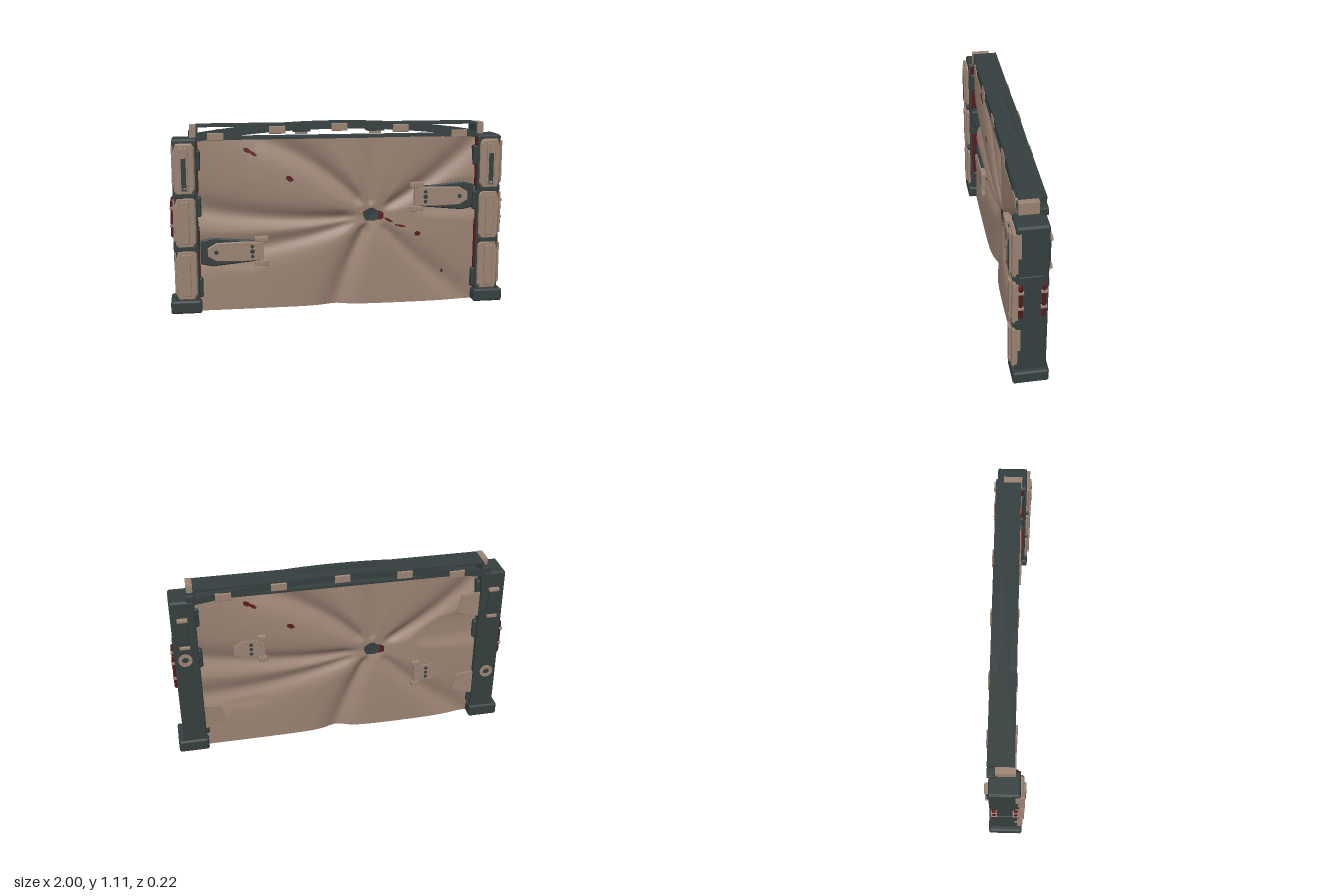
import * as THREE from 'three';
import { RoundedBoxGeometry } from 'three/addons/geometries/RoundedBoxGeometry.js';

const mat = (name, color) => {
  const m = new THREE.MeshStandardMaterial({ color });
  m.name = name;
  return m;
};

// Dent depth of a sheet: creases running out from the puncture.
const HOLE = [0.2, 0.55];
const CREASES = [ // end x, end y, depth, sideways bend
  [-0.03, -0.02, 0.044, 0.02], [0.09, 1.02, 0.038, 0.02], [-0.45, 1.02, 0.042, 0.05],
  [-0.86, 0.62, 0.04, -0.04], [-0.86, 0.36, 0.034, -0.05], [0.86, 1.03, 0.038, 0.03], [0.72, 0.08, 0.03, 0.02],
];
function dent(x, y) {
  const px = x - HOLE[0], py = y - HOLE[1];
  let d = 0.038 * Math.exp(-Math.hypot(px, py) / 0.13);
  for (const [ex, ey, depth, bend] of CREASES) {
    const dx = ex - HOLE[0], dy = ey - HOLE[1], len = Math.hypot(dx, dy);
    const u = (px * dx + py * dy) / (len * len);
    if (u < 0) continue;
    const uc = Math.min(u, 1);
    const off = (px * dy - py * dx) / len - bend * 4 * uc * (1 - uc);
    const w = 0.03 + 0.065 * uc;
    const g = depth * Math.min(1, u * 6) / Math.pow(1 + (off / w) ** 2, 1.4);
    d = Math.max(d, g) + 0.2 * Math.min(d, g);
  }
  // shallow seats for the two brackets
  for (const [bx, by] of [[0.66, 0.655], [-0.66, 0.355]])
    d = Math.max(d, 0.018 * Math.exp(-(((x - bx) / 0.24) ** 4) - ((y - by) / 0.11) ** 4));
  return -Math.min(d, 0.045);
}
const FRONT = 0.05;

export function createModel() {
  const root = new THREE.Group();
  root.name = 'damagedBarrier';
  const dark = mat('dark steel', 0x353f3f);
  const tan = mat('tan armour', 0x9c8474);
  const red = mat('dark red', 0x5a191b);

  const add = (parent, name, geo, m, x = 0, y = 0, z = 0) => {
    const o = new THREE.Mesh(geo, m);
    o.name = name;
    o.position.set(x, y, z);
    parent.add(o);
    return o;
  };
  const box = (p, name, m, w, h, d, x, y, z, r = 0) =>
    add(p, name, r ? new RoundedBoxGeometry(w, h, d, 2, r) : new THREE.BoxGeometry(w, h, d), m, x, y, z);
  const plate = (pts, depth, bevel = 0) => new THREE.ExtrudeGeometry(
    new THREE.Shape(pts.map(([x, y]) => new THREE.Vector2(x, y))),
    { depth, bevelEnabled: bevel > 0, bevelSize: bevel, bevelThickness: bevel, bevelSegments: 1, bevelOffset: -bevel });

  // Front and back crumpled sheets: the same closed half turned half way round
  for (const side of ['front', 'back']) {
    const half = new THREE.Group();
    half.name = side + 'Sheet';
    if (side === 'back') half.rotation.y = Math.PI;
    root.add(half);

    const sheet = new THREE.BoxGeometry(1.7, 1.01, 2, 120, 76, 1);
    sheet.translate(0, 0.51, 0);
    const sp = sheet.attributes.position;
    for (let i = 0; i < sp.count; i++)
      sp.setZ(i, sp.getZ(i) > 0 ? FRONT + dent(sp.getX(i), sp.getY(i)) : 0);
    sheet.computeVertexNormals();
    add(half, 'crumpledSheet', sheet, tan);

    // Ragged patches laid onto the sheet
    const patch = (name, m, x, y, rx, ry, rot, lift) => {
      const g = new THREE.CircleGeometry(1, 14);
      const p = g.attributes.position;
      for (let i = 0; i < p.count; i++) {
        const k = i ? 0.93 + 0.08 * Math.sin((i - 1) % 14 * 2.3) : 1;
        const a = p.getX(i) * rx * k, b = p.getY(i) * ry * k;
        const X = x + a * Math.cos(rot) - b * Math.sin(rot), Y = y + a * Math.sin(rot) + b * Math.cos(rot);
        p.setXYZ(i, X, Y, FRONT + lift + dent(X, Y));
      }
      g.computeVertexNormals();
      add(half, name, g, m);
    };
    patch('puncture', dark, 0.195, 0.55, 0.054, 0.043, 0, 0.008);
    patch('punctureRim', red, 0.245, 0.545, 0.028, 0.03, 0.3, 0.005);
    const marks = [[-0.54, 0.95, 0.025, 0.014, -0.5], [-0.505, 0.93, 0.025, 0.011, -0.6], [-0.295, 0.78, 0.025, 0.016, -0.5]];
    if (side === 'front')
      marks.push([0.37, 0.48, 0.035, 0.007, -0.2], [0.475, 0.43, 0.02, 0.015, 0], [0.3, 0.515, 0.03, 0.008, -0.5], [0.635, 0.19, 0.008, 0.012, 0]);
    for (const [x, y, rx, ry, rot] of marks) patch('redMark', red, x, y, rx, ry, rot, 0.004);
  }

  // Side posts, built for the +x side and mirrored by sign
  const armour = [[-0.06, -0.12], [-0.04, -0.15], [0.045, -0.15], [0.058, -0.13], [0.066, 0.08],
    [0.045, 0.145], [-0.045, 0.145], [-0.06, 0.12]];
  for (const s of [1, -1]) {
    const post = new THREE.Group();
    post.name = s > 0 ? 'leftPost' : 'rightPost';
    root.add(post);
    box(post, 'postColumn', dark, 0.14, 0.97, 0.17, s * 0.9, 0.535, -0.002, 0.008);
    box(post, 'postCap', dark, 0.13, 0.025, 0.165, s * 0.9, 1.013, -0.002, 0.008);
    box(post, 'foot', dark, 0.18, 0.078, 0.2, s * 0.91, 0.041, 0, 0.014);
    for (const y of [0.86, 0.36]) box(post, 'innerStrip', red, 0.012, 0.3, 0.03, s * 0.829, y, 0.053);

    // Front armour plates
    const outline = armour.map(([x, y]) => [x * s, y]);
    if (s < 0) outline.reverse();
    [0.235, 0.545, 0.855].forEach((y, i) => {
      add(post, 'armourPlate', plate(outline, 0.03, 0.008), tan, s * 0.902, y, 0.062);
      box(post, 'armourSide', tan, 0.01, 0.15, 0.046, s * 0.967, y + 0.06, 0.079);
      box(post, 'armourSideLow', tan, 0.01, 0.1, 0.03, s * 0.967, y - 0.06, 0.087);
      box(post, 'armourInset', tan, 0.05, 0.25, 0.014, s * 0.905, y - 0.003, 0.104, 0.005);
      if (i === 2) box(post, 'armourSlot', dark, 0.028, 0.185, 0.006, s * 0.905, y - 0.03, 0.11);
      for (const k of [-1, 1]) {
        const bolt = add(post, 'bolt', new THREE.CylinderGeometry(0.011, 0.011, 0.012, 10), tan, s * 0.905, y + k * 0.112, 0.107);
        bolt.rotation.x = Math.PI / 2;
      }
      box(post, 'innerClip', dark, 0.05, 0.12, 0.13, s * 0.835, [0.15, 0.63, 0.9][i], 0.005, 0.012);
    });
    for (const y of [0.39, 0.7]) box(post, 'plateGap', dark, 0.11, 0.03, 0.02, s * 0.9, y, 0.088, 0.005);

    // Outer side cover and red rods
    box(post, 'sideCover', dark, 0.012, 0.14, 0.13, s * 0.969, s > 0 ? 0.652 : 0.38, 0.005, 0.005);
    for (const z of [0.06, -0.062]) {
      add(post, 'sideRod', new THREE.CapsuleGeometry(0.011, 0.2, 4, 10), red, s * 0.976, 0.565, z);
      for (const y of [0.525, 0.627]) box(post, 'rodClamp', tan, 0.032, 0.017, 0.034, s * 0.974, y, z, 0.004);
    }

    // Back grab handle and ring
    box(post, 'handleBar', dark, 0.058, 0.17, 0.012, s * 0.905, 0.828, -0.094, 0.004);
    for (const y of [0.915, 0.74]) box(post, 'handleEnd', tan, 0.06, 0.02, 0.026, s * 0.905, y, -0.097, 0.004);
    const ring = new THREE.Shape().absarc(0, 0, 0.04, 0, Math.PI * 2);
    ring.holes.push(new THREE.Path().absarc(0, 0, 0.02, 0, Math.PI * 2, true));
    add(post, 'backRing', new THREE.ExtrudeGeometry(ring, { depth: 0.01, bevelEnabled: false, curveSegments: 10 }),
      tan, s * 0.91, s > 0 ? 0.65 : 0.335, -0.094);

    // Corner piece at the end of the top beam
    box(post, 'cornerBlock', dark, 0.05, 0.04, 0.045, s * 0.85, 1.042, -0.073, 0.004);
    box(post, 'cornerCap', tan, 0.036, 0.068, 0.106, s * 0.849, 1.064, 0.002);
    box(post, 'cornerEdge', dark, 0.012, 0.08, 0.14, s * 0.826, 1.055, -0.022);
  }

  // Tan gussets against the back of the sheet
  for (const [x, y] of [[-0.765, 0.81], [-0.765, 0.25], [0.765, 0.22]]) {
    const s = Math.sign(x);
    const pts = [[-0.06, -0.05], [0.07, -0.08], [0.07, 0.08], [-0.04, 0.06]].map(([a, b]) => [a * s, b]);
    if (s < 0) pts.reverse();
    const g = add(root, 'backGusset', plate(pts, 0.012), tan, x, y, -0.064);
    g.rotation.y = s * 0.12;
  }

  // Hinge brackets reaching inward from the posts (local +x points to the post)
  for (const [s, y] of [[1, 0.655], [-1, 0.355]]) {
    const bracket = new THREE.Group();
    bracket.name = s > 0 ? 'leftBracket' : 'rightBracket';
    root.add(bracket);
    bracket.position.set(s * 0.63, y, 0);
    if (s < 0) bracket.rotation.z = Math.PI;
    add(bracket, 'bracketBase', plate([[-0.14, -0.06], [0.12, -0.085], [0.19, -0.07], [0.19, 0.07],
      [0.12, 0.085], [-0.14, 0.06]], 0.035, 0.006), dark, 0, 0, 0.009);
    add(bracket, 'bracketPlate', plate([[-0.17, -0.055], [-0.06, -0.06], [0.1, -0.055], [0.15, -0.025],
      [0.15, 0.025], [0.1, 0.055], [-0.06, 0.06], [-0.17, 0.055]], 0.02, 0.005), tan, 0, 0, 0.034);
    for (const [x, v, r] of [[0.1, 0, 0.013], [-0.11, 0.03, 0.011], [-0.11, -0.03, 0.011], [-0.11, 0, 0.014]])
      add(bracket, 'bracketHole', new THREE.CircleGeometry(r, 12), dark, x, v, 0.0605);
    add(bracket, 'backBracketPlate', plate([[-0.17, -0.05], [-0.06, -0.055], [0, -0.025], [0, 0.025],
      [-0.06, 0.055], [-0.17, 0.05]], 0.03), tan, 0, 0, -0.056);
    for (const v of [-0.03, 0, 0.03]) {
      const hole = add(bracket, 'backBracketHole', new THREE.CircleGeometry(0.011, 12), dark, -0.1, v, -0.0575);
      hole.rotation.y = Math.PI;
    }
    for (const k of [-1, 1]) {
      box(bracket, 'bracketJaw', tan, 0.08, 0.03, 0.045, -0.165, k * 0.072, 0.04, 0.004);
      box(bracket, 'backJaw', tan, 0.05, 0.03, 0.03, -0.165, k * 0.072, -0.05, 0.004);
    }
    box(bracket, 'jawBar', tan, 0.025, 0.13, 0.025, -0.165, 0, 0.047);
    box(bracket, 'backJawBar', tan, 0.025, 0.13, 0.025, -0.165, 0, -0.05);
  }

  // Top beam: flat cover, lower rail and two arched rails
  const beam = new THREE.Group();
  beam.name = 'topBeam';
  root.add(beam);
  const archY = x => 1.088 - 0.065 * Math.pow(Math.abs(x) / 0.84, 2);
  box(beam, 'topCover', dark, 1.66, 0.01, 0.145, 0, 1.093, -0.023);
  box(beam, 'lowerRail', dark, 1.68, 0.014, 0.11, 0, 1.02, -0.01);
  const arch = [];
  for (let i = 0; i <= 24; i++) arch.push([-0.84 + i * 0.07, archY(-0.84 + i * 0.07) - 0.019]);
  for (let i = 24; i >= 0; i--) arch.push([-0.84 + i * 0.07, archY(-0.84 + i * 0.07) + 0.019]);
  add(beam, 'frontArch', plate(arch, 0.04), dark, 0, 0, 0.01);
  add(beam, 'backArch', plate(arch, 0.04), dark, 0, 0, -0.095);
  box(beam, 'topRidge', dark, 0.44, 0.008, 0.008, 0, 1.1, -0.01);
  for (const x of [-0.72, -0.365, 0, 0.365, 0.72])
    box(beam, 'frontTab', tan, 0.095, 0.046, 0.016, x, archY(x) - 0.008, 0.047, 0.004);
  for (const x of [-0.67, -0.36, 0, 0.36, 0.67])
    box(beam, 'backTab', tan, 0.09, 0.046, 0.014, x, archY(x) - 0.007, -0.096, 0.004);
  for (const x of [-0.22, 0.22]) {
    box(beam, 'innerTab', tan, 0.07, 0.03, 0.02, x, 1.052, 0.0);
    box(beam, 'innerBrace', dark, 0.1, 0.03, 0.1, x, 1.067, -0.02);
  }
  return root;
}
